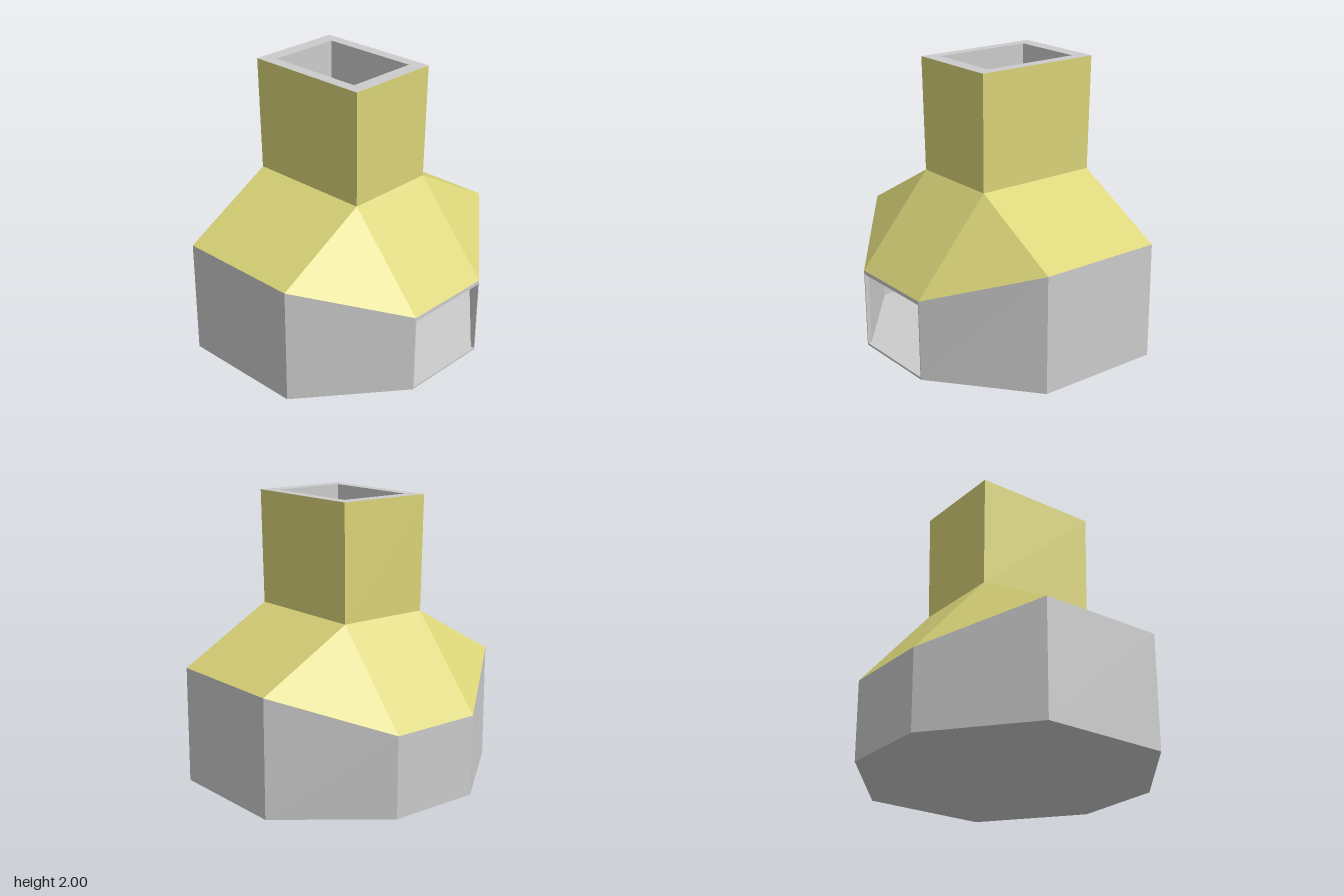
import * as THREE from 'three';

const GREY = 0xcccccc, YELLOW = 0xdad478;

// Octagonal loop, counter-clockwise from above: ends at z = ±Z (half width x),
// sides at x = ±X (half width z), each with its own height.
function octagon(x, Z, X, z, yEnd, ySide) {
  return [
    [-x, yEnd, Z], [x, yEnd, Z], [X, ySide, z], [X, ySide, -z],
    [x, yEnd, -Z], [-x, yEnd, -Z], [-X, ySide, -z], [-X, ySide, z],
  ];
}
// Rectangle written as an octagon loop with doubled corners
const rect = (x, z, y) => octagon(x, z, x, z, y, y);

// Quads between two loops, facing outward; skip leaves one side open
function loft(a, b, skip = -1) {
  const faces = [];
  a.forEach((p, i) => {
    const j = (i + 1) % a.length;
    if (i !== skip) faces.push([p, a[j], b[j], b[i]]);
  });
  return faces;
}
const flip = (faces) => faces.map((f) => [...f].reverse());

// Flat-shaded mesh from convex faces
function panelMesh(name, faces, color) {
  const pos = [];
  const [a, b, c] = [new THREE.Vector3(), new THREE.Vector3(), new THREE.Vector3()];
  for (const f of faces) {
    for (let i = 1; i < f.length - 1; i++) {
      a.fromArray(f[0]); b.fromArray(f[i]); c.fromArray(f[i + 1]);
      const area = b.clone().sub(a).cross(c.clone().sub(a)).length();
      if (area > 1e-6) pos.push(...f[0], ...f[i], ...f[i + 1]);
    }
  }
  const g = new THREE.BufferGeometry();
  g.setAttribute('position', new THREE.Float32BufferAttribute(pos, 3));
  g.computeVertexNormals();
  const mesh = new THREE.Mesh(g, new THREE.MeshStandardMaterial({ color, flatShading: true }));
  mesh.name = name;
  return mesh;
}

export function createModel() {
  const model = new THREE.Group();
  model.name = 'furnace';
  const DOOR = 2; // the +x side

  // Outer loops, from the ground up
  const base = octagon(0.455, 1, 0.985, 0.335, 0, 0);
  const eave = octagon(0.455, 1, 0.99, 0.335, 0.82, 0.567);
  const collar = rect(0.455, 0.335, 1.195);
  const top = rect(0.463, 0.347, 2);

  // Inner loops of the hollow
  const floor = octagon(0.44, 0.97, 0.96, 0.325, 0.015, 0.015);
  const innerEave = octagon(0.44, 0.97, 0.96, 0.325, 0.8, 0.54);
  const innerCollar = rect(0.36, 0.265, 1.16);
  const innerTop = rect(0.36, 0.265, 2);

  // Doorway loops: wall outline, opening, inner edge
  const outline = [base[2], base[3], eave[3], eave[2]];
  const opening = [
    [0.985, 0.015, 0.328], [0.985, 0.015, -0.328],
    [0.99, 0.54, -0.328], [0.99, 0.54, 0.328],
  ];
  const innerEdge = [floor[2], floor[3], innerEave[3], innerEave[2]];

  model.add(
    panelMesh('walls', loft(base, eave, DOOR), GREY),
    panelMesh('underside', flip([base]), GREY),
    panelMesh('doorFrame', [...loft(outline, opening), ...loft(opening, innerEdge)], GREY),
    panelMesh('roof', loft(eave, collar), YELLOW),
    panelMesh('chimney', loft(collar, top), YELLOW),
    panelMesh('chimneyRim', loft(top, innerTop), GREY),
    panelMesh('floor', [floor], GREY),
    panelMesh('innerWalls', flip(loft(floor, innerEave, DOOR)), GREY),
    panelMesh('ceiling', flip(loft(innerEave, innerCollar)), GREY),
    panelMesh('flue', flip(loft(innerCollar, innerTop)), GREY),
  );
  return model;
}
